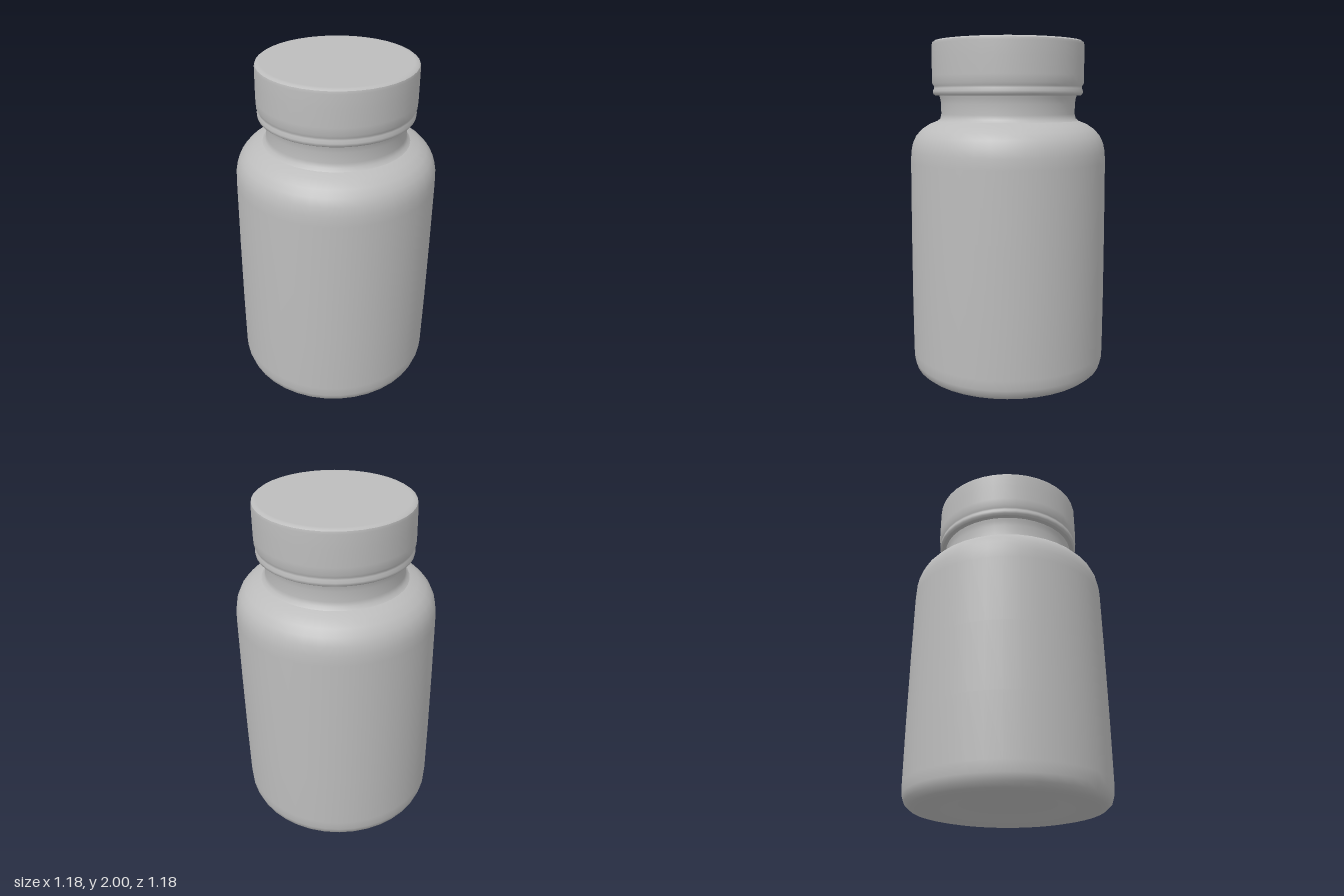
import * as THREE from 'three';

const grey = new THREE.MeshStandardMaterial({ color: 0xbcbcbc });
grey.name = 'plain grey';

// Turn a smooth [radius, height] profile, leaning very slightly toward +x
function turned(name, profile, segments = 40) {
  const geo = new THREE.LatheGeometry(profile.map(([r, y]) => new THREE.Vector2(r, y)), segments);
  geo.applyMatrix4(new THREE.Matrix4().set(
    1, 0.011, 0, -0.008,
    0, 1, 0, 0,
    0, 0, 1, 0,
    0, 0, 0, 1));
  const mesh = new THREE.Mesh(geo, grey);
  mesh.name = name;
  return mesh;
}

export function createModel() {
  const jar = new THREE.Group();
  jar.name = 'screwCapJar';

  // Body: dished base, rounded heel, straight wall, round shoulder
  jar.add(turned('body', [
    [0, 0.06], [0.24, 0.055], [0.3, 0.04], [0.36, 0.015], [0.42, 0.004], [0.5, 0.006],
    [0.545, 0.016], [0.572, 0.04], [0.585, 0.08], [0.588, 0.14], [0.588, 0.5],
    [0.585, 0.9], [0.58, 1.3], [0.577, 1.36], [0.567, 1.41], [0.547, 1.453],
    [0.515, 1.49], [0.47, 1.52], [0.42, 1.54],
  ]));

  // Neck between shoulder and cap
  jar.add(turned('neck', [
    [0.42, 1.54], [0.403, 1.555], [0.397, 1.58], [0.397, 1.64], [0.402, 1.67], [0.41, 1.7],
  ]));

  // Cap: rolled lower band, shallow groove, plain skirt
  jar.add(turned('capUnderside', [[0.39, 1.685], [0.43, 1.688]]));
  jar.add(turned('capSkirt', [
    [0.43, 1.688], [0.441, 1.696], [0.444, 1.712], [0.437, 1.728], [0.437, 1.74],
    [0.447, 1.757], [0.448, 1.8], [0.447, 1.9], [0.446, 1.975], [0.443, 1.99],
  ]));
  jar.add(turned('capTop', [[0.443, 1.99], [0.432, 1.998], [0.415, 2.0], [0, 2.0]]));

  return jar;
}
